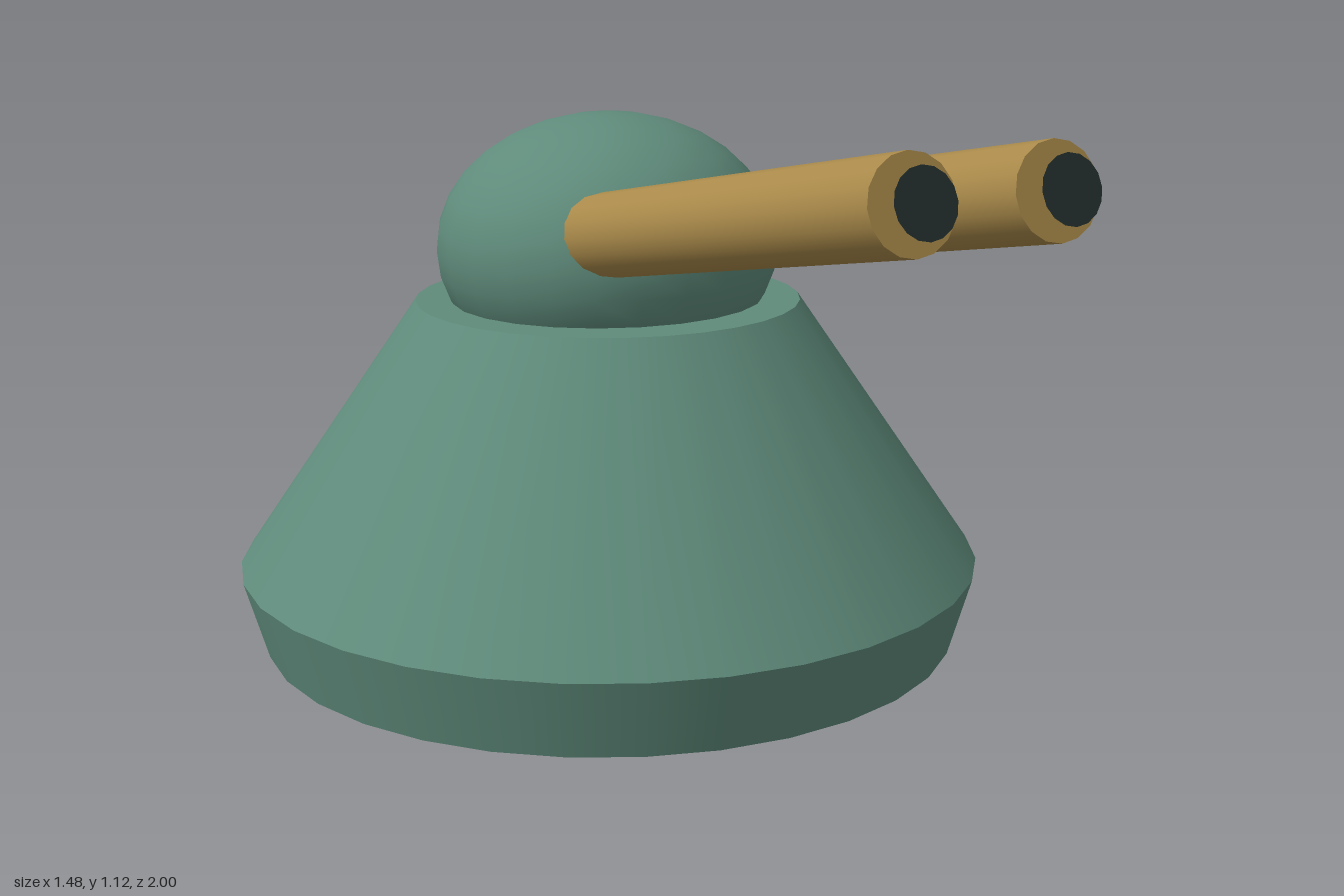
import * as THREE from 'three';

const BODY_Z = -0.26;

export function createModel() {
  const green = new THREE.MeshStandardMaterial({ color: 0x5f8b7b });
  green.name = 'sage green';
  const brass = new THREE.MeshStandardMaterial({ color: 0xab8b4b });
  brass.name = 'brass';
  const dark = new THREE.MeshStandardMaterial({ color: 0x24302e, side: THREE.DoubleSide });
  dark.name = 'bore dark';

  const model = new THREE.Group();
  model.name = 'gunTurret';
  const add = (parent, name, geometry, material, x, y, z) => {
    const mesh = new THREE.Mesh(geometry, material);
    mesh.name = name;
    mesh.position.set(x, y, z);
    parent.add(mesh);
    return mesh;
  };

  // Flared foot with its underside
  add(model, 'foot', new THREE.CylinderGeometry(0.74, 0.695, 0.155, 32, 1, true), green, 0, 0.0775, BODY_Z);
  const underside = add(model, 'underside', new THREE.CircleGeometry(0.695, 32), green, 0, 0, BODY_Z);
  underside.rotation.set(Math.PI / 2, 0, Math.PI / 2);

  // Tapered pedestal, closed by a flat top
  add(model, 'pedestal', new THREE.CylinderGeometry(0.38, 0.74, 0.525, 32, 1, true), green, 0, 0.4175, BODY_Z);
  const deck = add(model, 'deck', new THREE.CircleGeometry(0.38, 32), green, 0, 0.68, BODY_Z);
  deck.rotation.set(-Math.PI / 2, 0, Math.PI / 2);

  // Flattened dome, sunk into the pedestal
  const dome = add(model, 'dome', new THREE.SphereGeometry(1, 24, 16), green, 0, 0.785, BODY_Z);
  dome.scale.set(0.34, 0.26, 0.323);

  // Twin raised barrels, each with a bore disc just ahead of its muzzle
  const length = 1.1;
  for (const side of [1, -1]) {
    const gun = new THREE.Group();
    gun.name = side > 0 ? 'leftGun' : 'rightGun';
    gun.position.set(side * 0.132, 1.045, 0.952);
    gun.rotation.x = -0.198;
    const barrelGeometry = new THREE.CylinderGeometry(0.079, 0.079, length, 16);
    barrelGeometry.rotateX(Math.PI / 2);
    add(gun, 'barrel', barrelGeometry, brass, 0, 0, -length / 2);
    const bore = add(gun, 'bore', new THREE.CircleGeometry(0.056, 16), dark, 0, 0, 0.034);
    bore.rotation.x = -0.06;
    model.add(gun);
  }

  return model;
}
